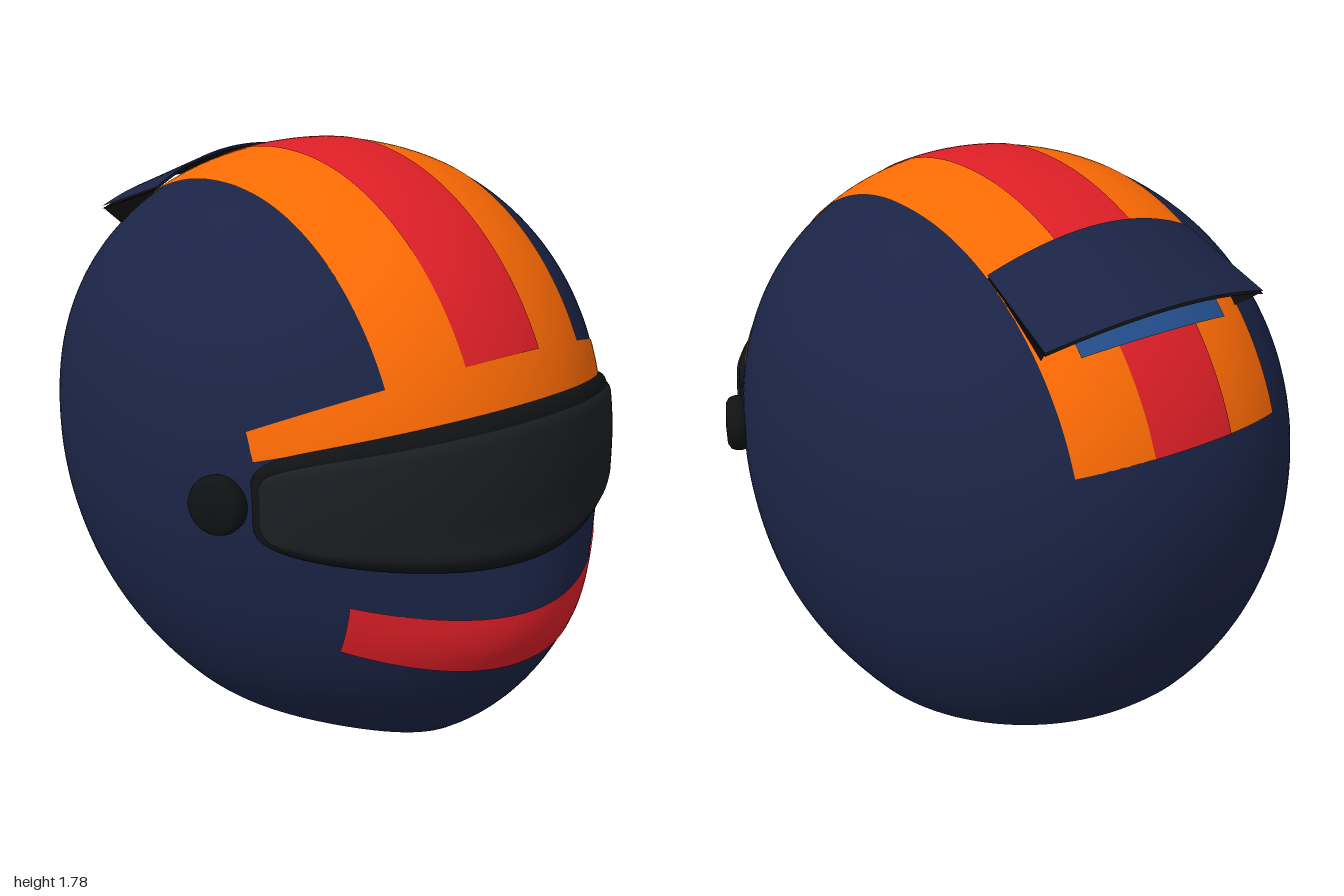
import * as THREE from 'three';
import { mergeVertices } from 'three/addons/utils/BufferGeometryUtils.js';

const NAVY = 0x1b2446, ORANGE = 0xff6b04, RED = 0xe01f27, BLACK = 0x0d0d0e;
const RIM = 0x101214, GLASS = 0x1c1e23, BLUE = 0x24508f;
const CY = 0.86, TOP = 1.777, RAD = Math.PI / 180;
const { lerp, smoothstep } = THREE.MathUtils;

// Helmet form: superelliptic horizontal sections, fuller behind, with a chin bulge
const size = (y, power) => {
  const k = y > CY ? ((y - CY) / (TOP - CY)) ** power : ((y - CY) / 1.025) ** 2;
  return Math.sqrt(Math.max(0, 1 - k));
};
const width = (y) => 0.823 * size(y, 2.4);
const fullness = (y, front) => (front ? 2 + 0.12 * smoothstep(CY - y, 0.2, 0.7) : 2.2);
const chin = (y) => 0.13 * smoothstep(CY - y, 0, 0.43);
const depth = (y, c, front) => (front ? 0.935 * size(y, 2) * c + chin(y) * c ** 5.5 : size(y, 2) * c);
const section = (y, a) => {
  const s = Math.sin(a), c = Math.cos(a), e = 2 / fullness(y, c > 0);
  return new THREE.Vector3(width(y) * Math.sign(s) * Math.abs(s) ** e, y,
    Math.sign(c) * depth(y, Math.abs(c) ** e, c > 0));
};
const inside = (x, y, z) => {
  const s = Math.abs(x) / (width(y) + 1e-6), p = fullness(y, z > 0);
  return y < TOP && s < 1 && Math.abs(z) < depth(y, (1 - s ** p) ** (1 / p), z > 0);
};

// Point on the shell at a given x and angle about the x axis, lifted outward
function onShell(x, deg, lift) {
  const sy = Math.sin(deg * RAD), cz = Math.cos(deg * RAD);
  let lo = 0, hi = 1.5;
  for (let i = 0; i < 30; i++) {
    const m = (lo + hi) / 2;
    if (inside(x, CY + m * sy, m * cz)) lo = m; else hi = m;
  }
  const out = new THREE.Vector3(x, lo * sy, lo * cz);
  return out.addScaledVector(out.clone().normalize(), lift).add(new THREE.Vector3(0, CY, 0));
}

// Mesh from a rule over u, v in 0..1
function surface(name, color, nu, nv, rule) {
  const pos = [], index = [];
  for (let j = 0; j <= nv; j++) for (let i = 0; i <= nu; i++) pos.push(...rule(i / nu, j / nv).toArray());
  for (let j = 0; j < nv; j++) for (let i = 0; i < nu; i++) {
    const a = j * (nu + 1) + i, c = a + nu + 1;
    index.push(a, a + 1, c + 1, a, c + 1, c);
  }
  let geo = new THREE.BufferGeometry();
  geo.setAttribute('position', new THREE.Float32BufferAttribute(pos, 3));
  geo.setIndex(index);
  geo = mergeVertices(geo, 1e-5);
  geo.computeVertexNormals();
  const mesh = new THREE.Mesh(geo, new THREE.MeshStandardMaterial({ color, side: THREE.DoubleSide }));
  mesh.name = name;
  return mesh;
}

// Painted band between two angles; the angles may vary with u in -1..1
const band = (name, color, halfX, lo, hi, lift, nu, nv) => surface(name, color, nu, nv, (u, v) => {
  const s = u * 2 - 1;
  return onShell(halfX * s, lerp(lo(s), hi(s), v), lift);
});

// Rounded visor patch, domed down to the shell at its border
const visorPatch = (name, color, halfX, mid, half, base, lift) => surface(name, color, 96, 24, (u, v) => {
  const s = Math.sin((u - 0.5) * Math.PI), t = Math.sin((v - 0.5) * Math.PI);
  const h = half * (0.45 + 0.55 * Math.max(0, 1 - Math.abs(s) ** 24) ** 0.5);
  const edge = Math.min(1, 6 * (1 - Math.abs(t)), 14 * (1 - Math.abs(s)));
  return onShell(halfX * s, mid + h * t, base + lift * Math.sqrt(Math.max(0, edge)));
});

// Lower edge of the shell, on a sloping cut
function bottomEdge(a) {
  let y = 0.1;
  for (let i = 0; i < 20; i++) y = 0.088 - 0.132 * section(y, a).z;
  return section(y, a);
}

// Curved spoiler blade
const blade = (name, color, drop) => surface(name, color, 24, 6, (u, v) => {
  const s = u * 2 - 1, q = s * s;
  return new THREE.Vector3(s * lerp(0.40, 0.37, v),
    lerp(1.555 - 0.065 * q, 1.70 - 0.09 * q, v) - drop,
    lerp(-0.825 + 0.06 * q, -0.49 + 0.04 * q, v));
});

export function createModel() {
  const model = new THREE.Group();
  model.name = 'helmet';

  // Shell and dark neck opening
  model.add(surface('shell', NAVY, 128, 80, (u, v) => {
    const a = (u * 2 - 1) * Math.PI, yb = bottomEdge(a).y;
    return section(v === 1 ? TOP : yb + (TOP - yb) * Math.sin(v * Math.PI / 2), a);
  }));
  model.add(surface('neckOpening', BLACK, 128, 4, (u, v) => {
    const p = bottomEdge((u * 2 - 1) * Math.PI), r = 0.99 * v;
    return new THREE.Vector3(p.x * r, 0.094 - 0.132 * p.z * r, p.z * r);
  }));

  // Painted stripes
  const at = (d) => () => d;
  model.add(band('crownStripe', ORANGE, 0.37, at(27.9), at(162), 0.003, 24, 96));
  model.add(band('browBand', ORANGE, 0.67, at(19), at(28), 0.003, 64, 8));
  model.add(band('centreStripe', RED, 0.14, at(28), at(162), 0.006, 12, 96));
  model.add(band('chinStripe', RED, 0.49, (s) => -26.7 - 3.5 * s * s, (s) => -16.4 - 1.8 * s * s, 0.004, 48, 12));

  // Visor
  model.add(visorPatch('visorRim', RIM, 0.678, 5.3, 13.9, 0.002, 0.024));
  model.add(visorPatch('visorPanel', GLASS, 0.664, 4.9, 11.9, 0.014, 0.022));

  // Visor pivots
  const profile = [[0, -0.035], [0.07, -0.035], [0.085, -0.024], [0.09, -0.008], [0.09, 0.012], [0.084, 0.028], [0.068, 0.038], [0, 0.043]]
    .map(([r, y]) => new THREE.Vector2(r, y));
  for (const side of [1, -1]) {
    const pivot = new THREE.Mesh(new THREE.LatheGeometry(profile, 32),
      new THREE.MeshStandardMaterial({ color: RIM }));
    pivot.name = side > 0 ? 'leftPivot' : 'rightPivot';
    pivot.position.set(side * 0.74, 0.9, 0.445);
    pivot.quaternion.setFromUnitVectors(new THREE.Vector3(0, 1, 0),
      new THREE.Vector3(side * 0.88, 0, 0.47).normalize());
    model.add(pivot);
  }

  // Rear spoiler with side fins and a blue strip beneath
  const spoiler = new THREE.Group();
  spoiler.name = 'spoiler';
  spoiler.add(blade('spoilerTop', NAVY, 0), blade('spoilerUnderside', BLACK, 0.01));
  for (const side of [1, -1]) {
    spoiler.add(surface(side > 0 ? 'leftFin' : 'rightFin', BLACK, 4, 1, (u, v) => new THREE.Vector3(
      side * (0.368 + 0.03 * u - 0.04 * u * (1 - v)),
      lerp(1.605 - 0.175 * u, 1.605 - 0.12 * u, v),
      lerp(-0.45 - 0.24 * u, -0.45 - 0.312 * u, v))));
  }
  model.add(spoiler);
  model.add(band('rearStrip', BLUE, 0.26, at(139), at(142.5), 0.014, 16, 2));
  return model;
}
